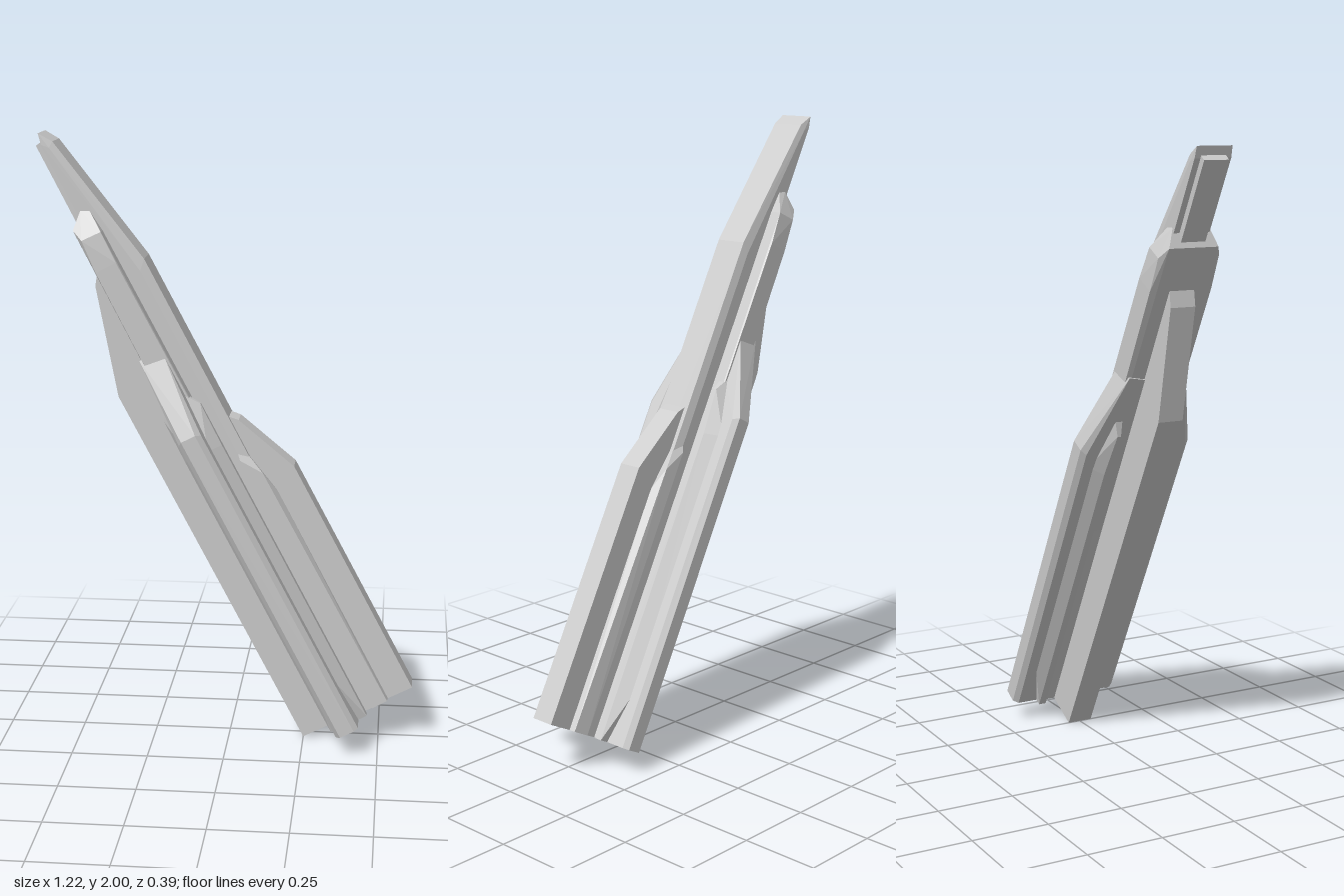
import * as THREE from 'three';
import { ConvexGeometry } from 'three/addons/geometries/ConvexGeometry.js';

const material = new THREE.MeshStandardMaterial({ color: 0xcccccc, flatShading: true });

// Faceted solid spanned by corner points; local x = across, y = along the shard, z = depth.
function solid(name, points) {
  const mesh = new THREE.Mesh(new ConvexGeometry(points.map((p) => new THREE.Vector3(...p))), material);
  mesh.name = name;
  return mesh;
}

// Corners [x, y, halfDepth] repeated on both sides of the centre plane.
function symmetric(name, corners) {
  return solid(name, corners.flatMap(([x, y, d]) => [[x, y, d], [x, y, -d]]));
}

export function createModel() {
  const group = new THREE.Group();
  group.name = 'shard';
  const tilted = new THREE.Group();
  tilted.name = 'tiltedShard';
  tilted.rotation.z = 0.484;
  tilted.position.set(0.25, 0.003, 0);
  group.add(tilted);

  // Thin fins on the two narrow edges
  tilted.add(symmetric('lowerFin', [
    [0, 0, 0.043], [0, 1.31, 0.043], [0.106, 1.66, 0.043], [0.143, 1.71, 0.043],
    [0.2, 1.71, 0.043], [0.2, 0, 0.043],
  ]));
  tilted.add(symmetric('upperFin', [
    [0.2, 0, 0.04], [0.407, 0, 0.04], [0.403, 0.85, 0.04], [0.313, 1.067, 0.04],
    [0.291, 1.09, 0.04], [0.2, 1.09, 0.04],
  ]));

  // Long central blade with slightly bevelled edges
  tilted.add(symmetric('blade', [
    [0.16, 0, 0.062], [0.262, 0, 0.062], [0.29, 0, 0.054],
    [0.262, 1.64, 0.062], [0.29, 1.667, 0.054],
    [0.19, 2.11, 0.062], [0.208, 2.123, 0.056],
    [0.18, 2.166, 0.06], [0.172, 2.13, 0.062], [0.172, 1.8, 0.062],
  ]));
  tilted.add(symmetric('bladeSpine', [
    [0.148, 1.6, 0.042], [0.152, 2.135, 0.042], [0.185, 2.14, 0.042], [0.2, 1.6, 0.042],
  ]));

  // Thicker body with a chamfered end
  tilted.add(symmetric('body', [
    [0.125, 0, 0.107], [0.22, 0, 0.107], [0.142, 1.7, 0.107], [0.215, 1.7, 0.107],
    [0.137, 1.85, 0.085], [0.15, 1.81, 0.105], [0.217, 1.807, 0.1],
    [0.183, 1.893, 0.062], [0.21, 1.878, 0.062],
  ]));

  for (const side of [1, -1]) {
    const prefix = side > 0 ? 'front' : 'back';
    const mirrored = (name, points) => solid(prefix + name, points.map(([x, y, z]) => [x, y, z * side]));

    // Broad wing
    tilted.add(mirrored('Wing', [
      [0.13, 0, 0], [0.21, 0, 0], [0.13, 1.37, 0], [0.21, 1.37, 0],
      [0.13, 0, 0.18], [0.145, 0, 0.196], [0.195, 0, 0.196], [0.21, 0, 0.18],
      [0.13, 1.1, 0.18], [0.145, 1.11, 0.196], [0.195, 1.11, 0.196], [0.21, 1.1, 0.18],
      [0.13, 1.39, 0.1], [0.21, 1.38, 0.1],
    ]));

    // Raised sloping panels on both faces of the wing
    for (const [name, root, crest] of [['UpperPanel', 0.2, 0.24], ['LowerPanel', 0.14, 0.107]]) {
      tilted.add(mirrored(name, [
        [root, 0, 0.07], [root, 0, 0.112], [root, 0.2, 0.156], [root, 1.04, 0.156],
        [root, 1.24, 0.11], [root, 1.24, 0.08],
        [crest, 0, 0.085], [crest, 0, 0.11], [crest, 1.03, 0.11], [crest, 1.18, 0.1], [crest, 1.18, 0.088],
      ]));
    }

    // Slim rib beside the upper fin
    tilted.add(mirrored('Rib', [
      [0.26, 0, 0.03], [0.26, 0, 0.068], [0.314, 0, 0.06], [0.318, 0, 0.035],
      [0.26, 0.95, 0.07], [0.306, 0.88, 0.066], [0.318, 0.8, 0.038], [0.27, 1.04, 0.035],
    ]));
  }
  return group;
}
